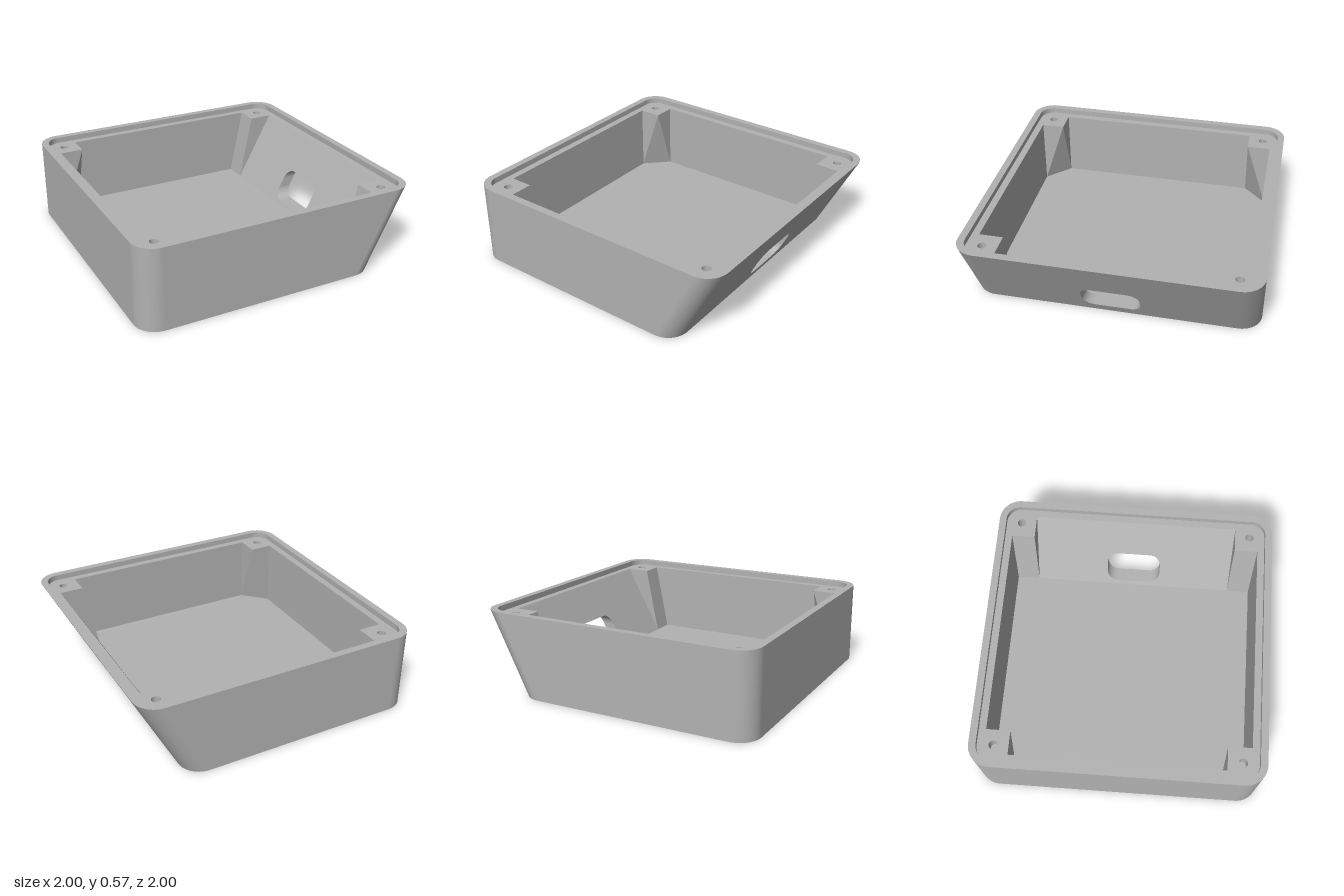
import * as THREE from 'three';

const H = 0.575, LEDGE = 0.535, FLOOR = 0.04, R = 0.15;
const POST = 0.735, IN = 0.9;
// x of the sloping wall at height y, outside and inside
const outerX = y => 0.71 + (0.29 * y) / H;
const innerX = y => 0.63 + (0.27 * (y - FLOOR)) / (LEDGE - FLOOR);

// rounded rectangle as 2D points, starting and ending on its +u side
function rounded(u0, u1, v0, v1, r, n = 10) {
  const centres = [[u1 - r, v1 - r], [u0 + r, v1 - r], [u0 + r, v0 + r], [u1 - r, v0 + r]];
  const pts = [];
  centres.forEach(([cu, cv], k) => {
    for (let i = 0; i <= n; i++) {
      const a = (k + i / n) * Math.PI / 2;
      pts.push(new THREE.Vector2(cu + r * Math.cos(a), cv + r * Math.sin(a)));
    }
  });
  return pts;
}

function circle(u, v, r, n = 32) {
  return Array.from({ length: n }, (_, i) => {
    const a = (i / n) * Math.PI * 2;
    return new THREE.Vector2(u + r * Math.cos(a), v + r * Math.sin(a));
  });
}

const poly = list => list.map(([u, v]) => new THREE.Vector2(u, v));
const level = (pts, y) => pts.map(p => [p.x, y, p.y]);

export function createModel() {
  const model = new THREE.Group();
  const grey = new THREE.MeshStandardMaterial({ color: 0xb2b2b2, side: THREE.DoubleSide });
  grey.name = 'casing grey';

  function add(name, geometry) {
    geometry.computeVertexNormals();
    const mesh = new THREE.Mesh(geometry, grey);
    mesh.name = name;
    model.add(mesh);
  }

  // flat outline with holes, placed in space by a mapping rule
  function panel(name, outline, holes, map) {
    const shape = new THREE.Shape(outline);
    shape.holes = holes.map(h => new THREE.Path(h));
    const g = new THREE.ShapeGeometry(shape);
    const p = g.attributes.position;
    for (let i = 0; i < p.count; i++) p.setXYZ(i, ...map(p.getX(i), p.getY(i)));
    add(name, g);
  }

  // smooth band between two matching loops
  function band(name, a, b, closed = true) {
    const n = a.length, index = [];
    for (let i = 0; i < (closed ? n : n - 1); i++) {
      const j = (i + 1) % n;
      index.push(i, n + i, j, n + i, n + j, j);
    }
    const g = new THREE.BufferGeometry();
    g.setAttribute('position', new THREE.Float32BufferAttribute([...a, ...b].flat(), 3));
    g.setIndex(index);
    add(name, g);
  }

  // flat convex face, plus its mirror image across z = 0
  function mirroredFace(name, pts) {
    const mirror = pts.map(([x, y, z]) => [x, y, -z]).reverse();
    for (const face of [pts, mirror]) {
      const g = new THREE.BufferGeometry();
      g.setAttribute('position', new THREE.Float32BufferAttribute(face.flat(), 3));
      g.setIndex(face.length === 3 ? [0, 1, 2] : [0, 1, 2, 0, 2, 3]);
      add(name, g);
    }
  }

  const bottomOutline = rounded(-1, outerX(0), -1, 1, R);
  const topOutline = rounded(-1, 1, -1, 1, R);
  const lip = rounded(-0.95, 0.95, -0.95, 0.95, 0.1);
  const slot = rounded(-0.2, 0.2, 0.07, 0.29, 0.08);
  const feet = [], screws = [];
  for (const s of [-1, 1]) {
    feet.push([-0.81, 0.8 * s], [0.52, 0.8 * s]);
    screws.push([-0.84, 0.84 * s], [0.84, 0.84 * s]);
  }
  const footHoles = feet.map(([x, z]) => circle(x, z, 0.11));
  const screwHoles = screws.map(([x, z]) => circle(x, z, 0.03, 24));

  // outside: walls, sloping end with slot, underside
  band('outerWall', level(bottomOutline, 0), level(topOutline, H), false);
  const w = 1 - R;
  panel('slopingWall', poly([[-w, 0], [w, 0], [w, H], [-w, H]]), [slot],
    (u, v) => [outerX(v), v, -u]);
  panel('underside', bottomOutline, footHoles, (u, v) => [u, 0, v]);

  // shallow round foot recesses
  for (const c of footHoles) {
    band('footRecessWall', level(c, 0.022), level(c, 0));
    panel('footRecessTop', c, [], (u, v) => [u, 0.022, v]);
  }

  // raised rim and the lower ledge with the corner screw holes
  panel('rim', topOutline, [lip], (u, v) => [u, H, -v]);
  band('rimInnerWall', level(lip, H), level(lip, LEDGE));
  const P = POST, RP = 0.73;
  const opening = poly([[-P, IN], [RP, IN], [RP, P], [IN, P], [IN, -P], [RP, -P],
    [RP, -IN], [-P, -IN], [-P, -P], [-IN, -P], [-IN, P], [-P, P]]);
  panel('ledge', lip, [opening, ...screwHoles], (u, v) => [u, LEDGE, -v]);
  for (const c of screwHoles) {
    band('screwHoleWall', level(c, LEDGE), level(c, LEDGE - 0.1));
    panel('screwHoleBottom', c, [], (u, v) => [u, LEDGE - 0.1, -v]);
  }

  // inside: floor and walls
  const F = innerX(FLOOR);
  panel('floor', poly([[-P, IN], [F, IN], [F, -IN], [-P, -IN], [-IN, -P], [-IN, P]]), [],
    (u, v) => [u, FLOOR, -v]);
  const side = poly([[-P, FLOOR], [P, FLOOR], [P, LEDGE], [-P, LEDGE]]);
  panel('innerSlopingWall', side, [slot], (u, v) => [innerX(v), v, u]);
  panel('innerUprightWall', side, [], (u, v) => [-IN, v, -u]);
  mirroredFace('innerSideWall',
    [[-P, FLOOR, IN], [-P, LEDGE, IN], [RP, LEDGE, IN], [F, FLOOR, IN]]);

  // slot tunnel through the sloping wall
  band('slotTunnel', slot.map(p => [outerX(p.y), p.y, p.x]), slot.map(p => [innerX(p.y), p.y, p.x]));

  // tapered corner posts on the upright end
  const tip = [-P, LEDGE, P], lowA = [-IN, FLOOR, P], lowB = [-P, FLOOR, IN];
  mirroredFace('uprightPostEnd', [[-IN, LEDGE, P], lowA, tip]);
  mirroredFace('uprightPostSide', [tip, lowB, [-P, LEDGE, IN]]);
  mirroredFace('uprightPostChamfer', [tip, lowA, lowB]);

  // leaning corner posts on the sloping end
  mirroredFace('leaningPostSide', [[RP, LEDGE, P], [F, FLOOR, P], [IN, LEDGE, P]]);
  mirroredFace('leaningPostFace',
    [[RP, LEDGE, P], [RP, LEDGE, IN], [F, FLOOR, IN], [F, FLOOR, P]]);

  return model;
}
